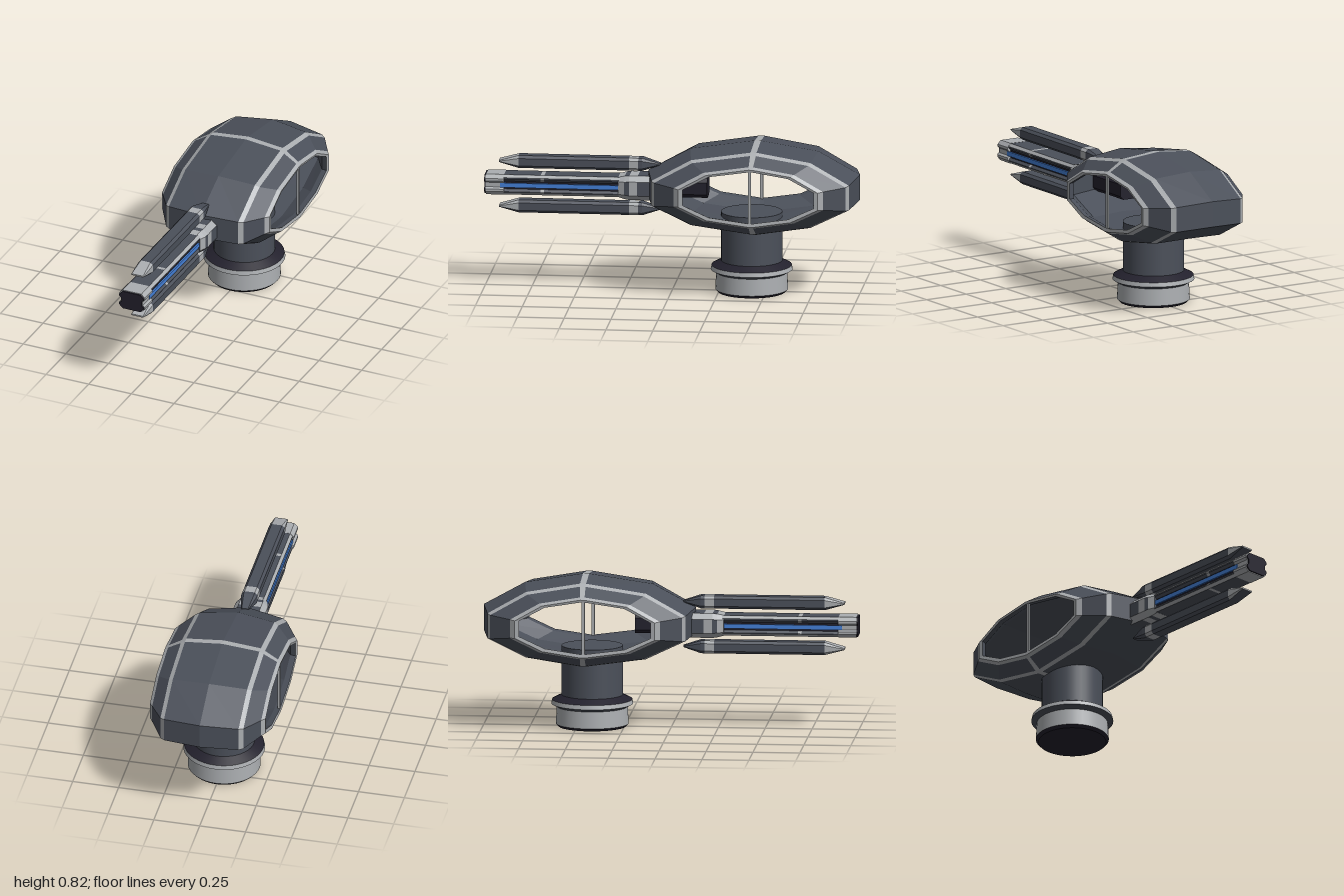
import * as THREE from 'three';

const mat = (name, color, side = THREE.FrontSide) => {
  const m = new THREE.MeshStandardMaterial({ color, side });
  m.name = name;
  return m;
};

export function createModel() {
  const dark = mat('slate armour', 0x4b505a);
  const light = mat('pale trim', 0xabaeb1);
  const black = mat('ink black', 0x23212d);
  const blue = mat('energy blue', 0x4480d8);
  const model = new THREE.Group();

  const add = (name, geo, material, parent = model) => {
    const mesh = new THREE.Mesh(geo, material);
    mesh.name = name;
    parent.add(mesh);
    return mesh;
  };

  // Faceted skin through rings of points; pick(segment, side) chooses the material
  function loft(name, rings, pick, { closed = false, cap = null } = {}, parent = model) {
    const buckets = new Map();
    const tri = (m, ...pts) => {
      if (!buckets.has(m)) buckets.set(m, []);
      pts.forEach((p) => buckets.get(m).push(...p));
    };
    const n = rings[0].length;
    const segs = closed ? rings.length : rings.length - 1;
    for (let s = 0; s < segs; s++) {
      const a = rings[s], b = rings[(s + 1) % rings.length];
      for (let i = 0; i < n; i++) {
        const j = (i + 1) % n, m = pick(s, i);
        tri(m, a[i], a[j], b[j]);
        tri(m, a[i], b[j], b[i]);
      }
    }
    if (cap) {
      const a = rings[0], b = rings[rings.length - 1];
      for (let i = 1; i < n - 1; i++) {
        tri(cap[0], a[0], a[i + 1], a[i]);
        tri(cap[1], b[0], b[i], b[i + 1]);
      }
    }
    const geo = new THREE.BufferGeometry(), pos = [], mats = [];
    for (const [m, p] of buckets) {
      geo.addGroup(pos.length / 3, p.length / 3, mats.length);
      mats.push(m);
      for (const v of p) pos.push(v);
    }
    geo.setAttribute('position', new THREE.Float32BufferAttribute(pos, 3));
    geo.computeVertexNormals();
    return add(name, geo, mats, parent);
  }

  // Chamfered rectangle in the xy plane, anticlockwise seen from +z
  const octagon = ([z, w, y0, y1, c]) => [
    [-w + c, y0, z], [w - c, y0, z], [w, y0 + c, z], [w, y1 - c, z],
    [w - c, y1, z], [-w + c, y1, z], [-w, y1 - c, z], [-w, y0 + c, z],
  ];

  // ---- Hollow shell: a rounded ring profile swept across x and back inside ----
  const profile = [
    [-0.005, 1], [0.6, 0.78], [1, 0.25], [1, -0.35], [0.6, -0.8], [-0.005, -1],
    [-0.065, -1], [-0.61, -0.8], [-1, -0.35], [-1, 0.25], [-0.61, 0.78], [-0.065, 1],
  ];
  // x, half depth, top, bottom
  const outer = [
    [0, 0.565, 0.82, 0.36], [0.203, 0.528, 0.8, 0.353], [0.226, 0.512, 0.787, 0.36],
    [0.297, 0.4, 0.742, 0.408], [0.315, 0.373, 0.73, 0.418],
  ];
  const inner = [
    [0.312, 0.35, 0.717, 0.437], [0.28, 0.36, 0.72, 0.43], [0.2, 0.485, 0.77, 0.388], [0, 0.525, 0.785, 0.392],
  ];
  const flip = (list) => list.slice().reverse().map(([x, ...r]) => [-x, ...r]);
  const stations = [
    ...flip(outer), ...outer.slice(1), ...inner, ...flip(inner).slice(1),
  ];
  const shellRings = stations.map(([x, d, top, bot]) =>
    profile.map(([u, v]) => [x, (top + bot) / 2 + v * (top - bot) / 2, -0.435 + u * d]));
  const trimSegments = [0, 2, 5, 7, 8, stations.length - 1];
  loft('shell', shellRings, (s, i) => {
    const onOutside = s < 8;
    return trimSegments.includes(s) || (onOutside && (i === 5 || i === 11)) ? light : dark;
  }, { closed: true });

  // Thin upright bar in each side opening
  for (const sx of [1, -1]) {
    const bar = add('openingBar', new THREE.BoxGeometry(0.012, 0.29, 0.016), light);
    bar.position.set(sx * 0.304, 0.577, -0.443);
  }

  // ---- Pedestal: turned bands, each in its own colour ----
  const pedestal = new THREE.Group();
  pedestal.name = 'pedestal';
  pedestal.position.z = -0.422;
  model.add(pedestal);
  const bands = [
    ['baseUnderside', black, [[0, 0], [0.18, 0]]],
    ['baseBevel', black, [[0.18, 0], [0.194, 0.015]]],
    ['base', light, [[0.194, 0.015], [0.189, 0.106]]],
    ['collarUnderside', dark, [[0.189, 0.106], [0.218, 0.122]]],
    ['collar', light, [[0.218, 0.122], [0.213, 0.145]]],
    ['collarTop', black, [[0.213, 0.145], [0.163, 0.17]]],
    ['post', dark, [[0.163, 0.17], [0.163, 0.435]]],
    ['postTop', dark, [[0.163, 0.435], [0, 0.435]]],
  ];
  for (const [name, m, pts] of bands)
    add(name, new THREE.LatheGeometry(pts.map((p) => new THREE.Vector2(...p)), 40), m, pedestal);

  // ---- Central barrel ----
  const barrel = new THREE.Group();
  barrel.name = 'barrel';
  model.add(barrel);
  loft('barrelCore', [[-0.19, 0.06, 0.51, 0.615, 0.02], [0.1, 0.06, 0.51, 0.615, 0.02],
    [0.12, 0.055, 0.52, 0.6, 0.01], [0.95, 0.055, 0.52, 0.6, 0.01]].map(octagon),
  () => black, { cap: [black, black] }, barrel);

  // Upper and lower rails with pale chamfers and a pale joint ring
  for (const [y0, y1] of [[0.578, 0.614], [0.506, 0.538]]) {
    const rail = [0.2, 0.68, 0.7, 0.92].map((z) => octagon([z, 0.068, y0, y1, 0.014]));
    const up = y0 > 0.55;
    loft('barrelRail', rail, (s, i) =>
      s === 1 || (up ? i === 3 || i === 5 : i === 1 || i === 7) ? light : dark,
    { cap: [dark, dark] }, barrel);
  }

  // Glowing strip along each flank
  for (const sx of [1, -1]) {
    const strip = add('glowStrip', new THREE.BoxGeometry(0.009, 0.024, 0.65), blue, barrel);
    strip.position.set(sx * 0.061, 0.558, 0.59);
  }

  // Rear sleeve where the barrel leaves the shell
  loft('barrelSleeve', [[0.08, 0.088, 0.493, 0.625, 0.028], [0.18, 0.088, 0.493, 0.625, 0.028],
    [0.225, 0.088, 0.493, 0.625, 0.028], [0.25, 0.084, 0.496, 0.622, 0.028],
    [0.285, 0.07, 0.505, 0.614, 0.02]].map(octagon),
  (s, i) => (s === 1 || s === 3 || i % 2 ? light : dark), { cap: [dark, dark] }, barrel);

  // Muzzle block, notched on both flanks, with a black face
  const muzzleOutline = (w, h, notch) => [
    [-w + 0.02, -h], [w - 0.02, -h], [w, -h + 0.02], [w, -0.022], [w - notch, -0.012], [w - notch, 0.012],
    [w, 0.022], [w, h - 0.02], [w - 0.02, h], [-w + 0.02, h], [-w, h - 0.02], [-w, 0.022],
    [-w + notch, 0.012], [-w + notch, -0.012], [-w, -0.022], [-w, -h + 0.02],
  ];
  const extrude = (pts, depth) => new THREE.ExtrudeGeometry(
    new THREE.Shape(pts.map((p) => new THREE.Vector2(...p))), { depth, bevelEnabled: false });
  const muzzle = add('muzzle', extrude(muzzleOutline(0.075, 0.055, 0.012), 0.097), [light, light], barrel);
  muzzle.position.set(0, 0.56, 0.895);
  const face = add('muzzleFace', extrude(muzzleOutline(0.071, 0.051, 0.012), 0.008), black, barrel);
  face.position.set(0, 0.56, 0.992);

  // ---- Long fins above and below the barrel ----
  const finSections = [ // z, half width, bottom, top, chamfer
    [0.065, 0.02, 0.676, 0.684, 0.003], [0.16, 0.042, 0.646, 0.714, 0.014],
    [0.18, 0.042, 0.646, 0.714, 0.014], [0.23, 0.042, 0.646, 0.714, 0.014],
    [0.82, 0.042, 0.646, 0.714, 0.014], [0.925, 0.036, 0.677, 0.685, 0.003],
  ];
  for (const [name, lower] of [['upperFin', false], ['lowerFin', true]]) {
    const rings = finSections.map(([z, w, y0, y1, c]) =>
      octagon(lower ? [z, w, 1.118 - y1, 1.118 - y0, c] : [z, w, y0, y1, c]));
    loft(name, rings, (s, i) =>
      s === 2 || (s === 4 && (i > 1 && i < 7 || lower && i === 7)) ? light : dark,
    { cap: [dark, light] });
  }

  return model;
}
